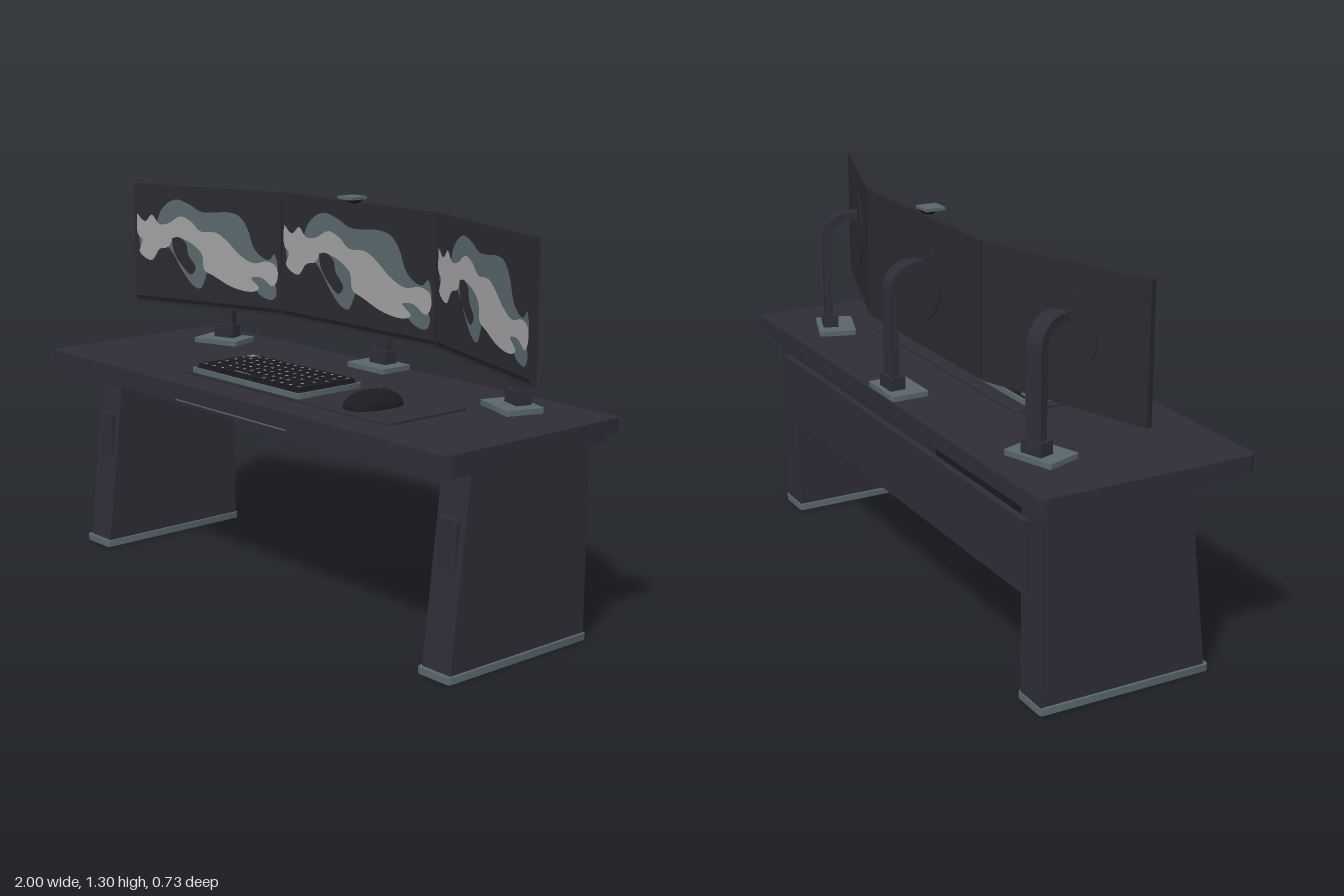
import * as THREE from 'three';
import { toCreasedNormals } from 'three/addons/utils/BufferGeometryUtils.js';

const mat = (name, color) => Object.assign(new THREE.MeshStandardMaterial({ color }), { name });

export function createModel() {
  const desk = mat('charcoal', 0x2e2d37);
  const shell = mat('monitorDark', 0x29292f);
  const black = mat('black', 0x1c1c20);
  const slate = mat('slate', 0x58666b);
  const silver = mat('silver', 0xa09ea0);
  const model = new THREE.Group();

  const add = (parent, name, geo, material, x = 0, y = 0, z = 0) => {
    const mesh = new THREE.Mesh(geo, material);
    mesh.name = name;
    mesh.position.set(x, y, z);
    parent.add(mesh);
    return mesh;
  };
  const box = (w, h, d) => new THREE.BoxGeometry(w, h, d);

  // Horizontal slab with rounded corners, resting on y = 0
  const slab = (w, h, d, r) => {
    const s = new THREE.Shape();
    const a = w / 2 - r, b = d / 2 - r;
    s.absarc(a, b, r, 0, Math.PI / 2);
    s.absarc(-a, b, r, Math.PI / 2, Math.PI);
    s.absarc(-a, -b, r, Math.PI, Math.PI * 1.5);
    s.absarc(a, -b, r, Math.PI * 1.5, Math.PI * 2);
    const g = new THREE.ExtrudeGeometry(s, { depth: h, bevelEnabled: false, curveSegments: 6 });
    return toCreasedNormals(g.rotateX(-Math.PI / 2), 0.6);
  };
  // Side profile drawn in (z, y), extruded across x and centred
  const sideProfile = (shape, width) => {
    const g = new THREE.ExtrudeGeometry(shape, { depth: width, bevelEnabled: false, curveSegments: 12 });
    return toCreasedNormals(g.translate(0, 0, -width / 2).rotateY(-Math.PI / 2), 0.6);
  };
  const polygon = pts => new THREE.Shape(pts.map(p => new THREE.Vector2(...p)));

  // Desk top and frame
  add(model, 'deskTop', slab(2, 0.052, 0.73, 0.025), desk, 0, 0.655, 0);
  add(model, 'deskCore', box(1.9, 0.01, 0.64), desk, 0, 0.652, 0);
  add(model, 'underFrame', slab(1.95, 0.02, 0.675, 0.02), desk, 0, 0.63, 0);
  add(model, 'frontStrip', box(0.56, 0.006, 0.008), slate, 0, 0.645, 0.34);
  add(model, 'backPanel', box(1.72, 0.225, 0.022), desk, 0, 0.4725, -0.32);

  // Tapered legs
  const legShape = polygon([[-0.31, 0.02], [0.262, 0.02], [0.19, 0.63], [-0.31, 0.63]]);
  for (const s of [-1, 1]) {
    add(model, 'leg', sideProfile(legShape, 0.117), desk, s * 0.867);
    add(model, 'foot', slab(0.135, 0.022, 0.59, 0.012), slate, s * 0.867, 0, -0.02);
    add(model, 'legPanel', box(0.076, 0.15, 0.04), desk, s * 0.867, 0.4, 0.208);
  }

  // Wallpaper patches, as offsets from the centre of a 142 by 80 screen
  const patches = [
    ['wallpaperShade', slate, [[-67, 20], [-60, 13], [-50, 14], [-45, 22], [-38, 28], [-28, 31], [-15, 28],
      [-5, 24], [8, 24], [20, 25], [32, 23], [40, 15], [45, 4], [52, -2], [60, -4], [65, 0], [68, -9],
      [64, -15], [67, -24], [63, -30], [52, -28], [43, -21], [28, -18], [5, -12], [-2, -22], [-6, -27],
      [-14, -25], [-24, -16], [-32, -6], [-40, 0], [-52, -1], [-60, -2], [-66, -1]]],
    ['wallpaperLight', silver, [[-68, 20], [-60, 15], [-53, 20], [-46, 14], [-36, 15], [-25, 20], [-14, 17],
      [-5, 11], [10, 11], [22, 5], [32, -2], [45, -7], [58, -5], [67, -8], [68, -16], [63, -21], [53, -16],
      [43, -17], [51, -23], [42, -26], [25, -24], [8, -18], [-2, -14], [-4, -4], [-15, 3], [-30, 6],
      [-37, -1], [-46, -3], [-54, -11], [-66, -6], [-63, 2], [-68, 7]]],
    ['wallpaperDark', shell, [[-33, 5], [-26, 6], [-19, 2], [-17, -5], [-10, -13], [-15, -18], [-24, -12], [-31, -4]]],
  ];

  // Arm: upright strap that bends forward into the screen
  const arm = new THREE.Shape();
  arm.moveTo(-0.135, 0.72);
  arm.lineTo(-0.135, 1.04);
  arm.absarc(-0.045, 1.04, 0.09, Math.PI, Math.PI / 2, true);
  arm.lineTo(-0.005, 1.13);
  arm.lineTo(-0.005, 1.102);
  arm.absarc(-0.045, 1.04, 0.062, Math.PI / 2, Math.PI, false);
  arm.lineTo(-0.107, 0.72);

  // Monitor on its stand
  const monitor = (name, w, x, z, turn) => {
    const g = new THREE.Group();
    g.name = name;
    g.position.set(x, 0, z);
    g.rotation.y = turn;
    model.add(g);
    add(g, 'monitorShell', box(w, 0.43, 0.02), shell, 0, 1.06, 0);
    add(g, 'bottomBezel', box(w - 0.01, 0.012, 0.004), black, 0, 0.862, 0.01);
    patches.forEach(([label, m, pts], i) => {
      const k = w / 142;
      const shape = new THREE.Shape();
      shape.setFromPoints(new THREE.SplineCurve(
        [...pts, pts[0]].map(p => new THREE.Vector2(p[0] * k, p[1] * 0.43 / 80))).getPoints(100).slice(0, -1));
      add(g, label, new THREE.ShapeGeometry(shape), m, 0, 1.06, 0.012 + i * 0.002);
    });
    const disc = new THREE.CylinderGeometry(0.13, 0.13, 0.006, 40).rotateX(Math.PI / 2);
    add(g, 'backDisc', disc, shell, 0, 1.07, -0.011);
    add(g, 'arm', sideProfile(arm, 0.058), desk);
    add(g, 'armSocket', box(0.078, 0.046, 0.052), desk, 0, 0.744, -0.118);
    add(g, 'standPlate', slab(0.18, 0.018, 0.126, 0.006), slate, 0, 0.706, -0.098);
  };
  monitor('centreMonitor', 0.76, 0, -0.2, 0);
  for (const s of [-1, 1]) monitor('sideMonitor', 0.622, s * 0.683, -0.1, -s * 0.33);

  // Webcam above the centre screen
  add(model, 'webcamTop', box(0.068, 0.01, 0.068), slate, 0, 1.291, -0.176);
  const neck = new THREE.CylinderGeometry(0.032, 0.016, 0.014, 16);
  add(model, 'webcamNeck', neck, black, 0, 1.28, -0.185);

  // Desk mat
  add(model, 'deskMat', slab(1.01, 0.008, 0.33, 0.02), desk, 0.135, 0.706, 0.085);

  // Keyboard
  const keyboard = new THREE.Group();
  keyboard.name = 'keyboard';
  keyboard.position.set(-0.055, 0.713, 0.107);
  model.add(keyboard);
  add(keyboard, 'keyboardCase', slab(0.55, 0.018, 0.265, 0.01), slate);
  add(keyboard, 'keyboardDeck', slab(0.532, 0.003, 0.248, 0.008), black, 0, 0.017, 0);
  const unit = 0.0372;
  const rows = [Array(14).fill(1), [...Array(12).fill(1), 2], [1.5, ...Array(11).fill(1), 1.5],
    [1.75, ...Array(10).fill(1), 2.25], [2.25, ...Array(9).fill(1), 2.75], [1.2, 1.2, 1.2, 4.6, 1.2, 1.2, 1.2, 1.1, 1.1]];
  rows.forEach((row, r) => {
    let x = -7 * unit;
    const z = -0.1 + r * 0.04;
    row.forEach((n, c) => {
      const w = n * unit, cx = x + w / 2;
      const first = r === 0 && c === 0;
      add(keyboard, 'key', box(w - 0.006, 0.012, 0.033), first ? slate : desk === null ? desk : black, cx, 0.025, z);
      add(keyboard, 'keyMark', box(n > 4 ? 0.08 : 0.009, 0.001, n > 4 ? 0.003 : 0.008), silver, cx, 0.0313, z);
      x += w;
    });
  });

  // Mouse: half dome with a squarish footprint
  const mouse = new THREE.Group();
  mouse.name = 'mouse';
  mouse.position.set(0.435, 0.713, 0.122);
  mouse.rotation.y = -0.11;
  model.add(mouse);
  const dome = new THREE.SphereGeometry(1, 32, 12, 0, Math.PI * 2, 0, Math.PI / 2);
  const p = dome.attributes.position;
  const puff = v => Math.sign(v) * Math.abs(v) ** 0.8;
  for (let i = 0; i < p.count; i++) {
    p.setXYZ(i, puff(p.getX(i)) * 0.062, Math.max(0, p.getY(i)) * 0.052, puff(p.getZ(i)) * 0.1);
  }
  dome.computeVertexNormals();
  add(mouse, 'mouseBody', dome, black);
  const wheel = new THREE.CylinderGeometry(0.013, 0.013, 0.012, 16).rotateZ(Math.PI / 2);
  add(mouse, 'mouseWheel', wheel, desk, 0, 0.046, -0.035);

  return model;
}
